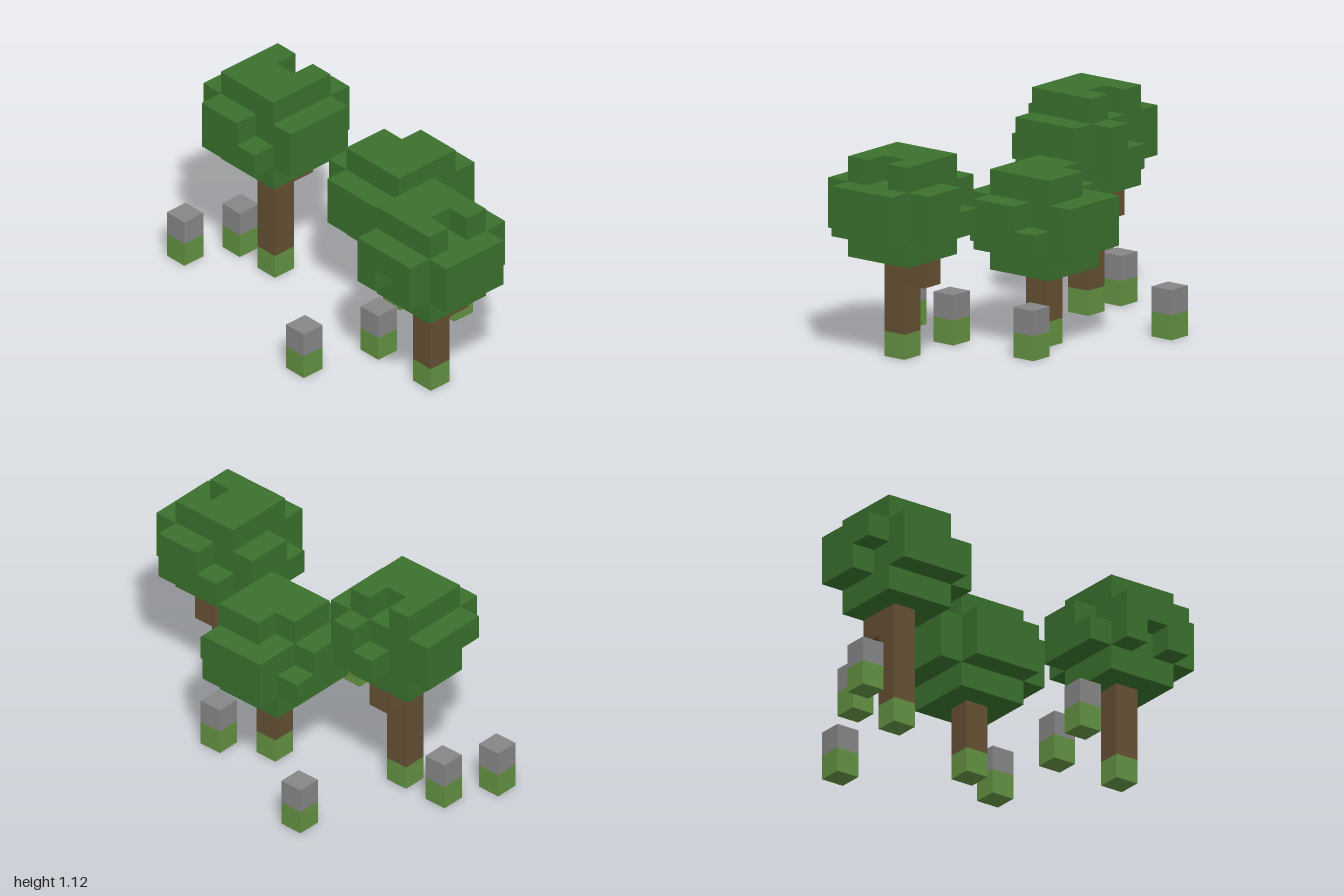
import * as THREE from 'three';

const U = 0.125; // size of one block

const material = (name, color) => {
  const m = new THREE.MeshStandardMaterial({ color });
  m.name = name;
  return m;
};

// Surface of a set of block cells, keeping only the exposed faces
function blockGeometry(cells) {
  const filled = new Set(cells.map((c) => c.join()));
  const positions = [], normals = [];
  for (const cell of cells) {
    for (let axis = 0; axis < 3; axis++) {
      for (const side of [-1, 1]) {
        const next = [...cell];
        next[axis] += side;
        if (filled.has(next.join())) continue;
        const a = (axis + 1) % 3, b = (axis + 2) % 3;
        const corner = (i, j) => {
          const p = [...cell];
          p[axis] += side > 0 ? 1 : 0;
          p[a] += i;
          p[b] += j;
          return p.map((v) => v * U);
        };
        const q = [corner(0, 0), corner(1, 0), corner(1, 1), corner(0, 1)];
        if (side < 0) q.reverse();
        const n = [0, 0, 0];
        n[axis] = side;
        for (const k of [0, 1, 2, 0, 2, 3]) {
          positions.push(...q[k]);
          normals.push(...n);
        }
      }
    }
  }
  const g = new THREE.BufferGeometry();
  g.setAttribute('position', new THREE.Float32BufferAttribute(positions, 3));
  g.setAttribute('normal', new THREE.Float32BufferAttribute(normals, 3));
  return g;
}

// Crown cells: narrow bottom and top, two wide layers without corners, minus gaps
function crownCells(x, y, z, gaps) {
  const missing = new Set(gaps.map((g) => g.join()));
  const cells = [];
  for (let dy = 0; dy < 4; dy++) {
    const r = dy === 0 || dy === 3 ? 1 : 2;
    for (let dx = -r; dx <= r; dx++) {
      for (let dz = -r; dz <= r; dz++) {
        if (Math.abs(dx) === 2 && Math.abs(dz) === 2) continue;
        if (!missing.has([dx, dy, dz].join())) cells.push([x + dx, y + dy, z + dz]);
      }
    }
  }
  return cells;
}

export function createModel() {
  const leaf = material('leaf green', 0x3a702d);
  const bark = material('bark brown', 0x655033);
  const grass = material('grass green', 0x639142);
  const stone = material('stone grey', 0x868686);

  const model = new THREE.Group();
  model.name = 'grove';

  const add = (parent, name, cells, mat) => {
    const mesh = new THREE.Mesh(blockGeometry(cells), mat);
    mesh.name = name;
    parent.add(mesh);
  };

  // Trees: trunk cell, crown base height, side branch, gaps in the leaves
  const trees = [
    { name: 'frontTree', x: -2, z: 5, top: 4, branch: true,
      gaps: [[2, 2, -1], [0, 3, 1], [-1, 2, -2], [-2, 1, 0]] },
    { name: 'middleTree', x: 1, z: 0, top: 3, branch: false,
      gaps: [[1, 2, 2], [1, 3, -1], [1, 2, -2]] },
    { name: 'backTree', x: -1, z: -5, top: 5, branch: true,
      gaps: [[1, 3, 0], [2, 2, 0], [2, 1, -1], [2, 2, -1], [-2, 2, 1], [-1, 1, -2]] },
  ];
  for (const { name, x, z, top, branch, gaps } of trees) {
    const tree = new THREE.Group();
    tree.name = name;
    const trunk = [];
    for (let y = 1; y < top; y++) trunk.push([x, y, z]);
    if (branch) trunk.push([x + 1, top - 1, z]);
    add(tree, 'grassBase', [[x, 0, z]], grass);
    add(tree, 'trunk', trunk, bark);
    add(tree, 'crown', crownCells(x, top, z, gaps), leaf);
    model.add(tree);
  }

  // Stones, each on its own grass block
  const stones = [[-3, -8], [-1, -7], [4, -4], [-5, 1], [-2, 2], [2, 2]];
  for (const [x, z] of stones) {
    const rock = new THREE.Group();
    rock.name = 'rock';
    add(rock, 'grassBase', [[x, 0, z]], grass);
    add(rock, 'stone', [[x, 1, z]], stone);
    model.add(rock);
  }
  return model;
}
